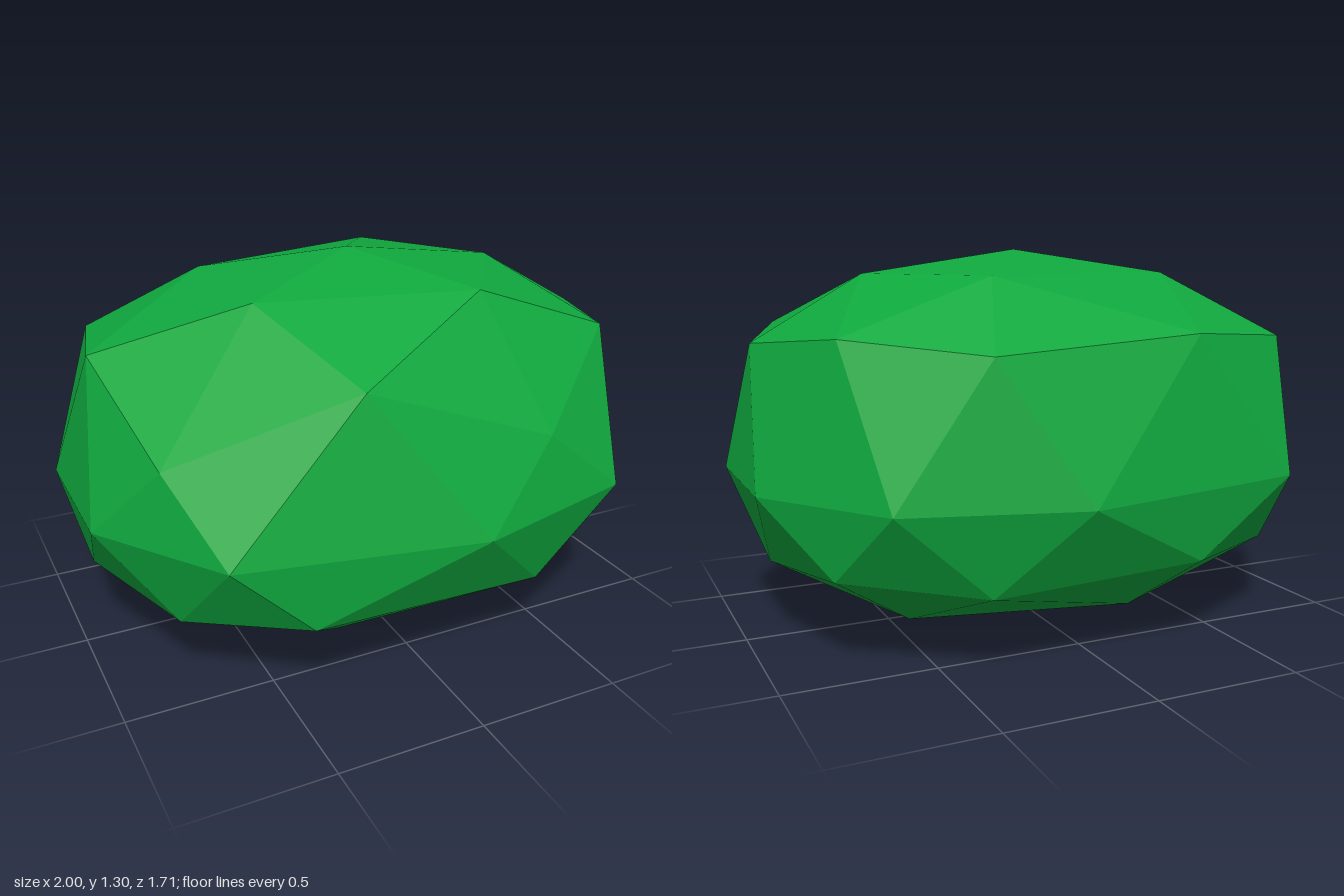
import * as THREE from 'three';

export function createModel() {
  const green = new THREE.MeshStandardMaterial({ color: 0x10a83e, flatShading: true });
  green.name = 'leaf green';

  // Lifts a ring of [x, z] points to one height.
  const level = (y, points) => points.map(([x, z]) => [x, y, z]);

  // Rings from crown to base; each runs round from +x towards +z.
  const crown = [0.01, 1.3, 0];
  const cap = level(1.22, [[0.57, 0], [0.28, 0.43], [-0.44, 0.26], [-0.44, -0.26], [0.28, -0.43]]);
  const upperMid = level(1.04, [[0.78, 0.43], [-0.26, 0.69], [-0.91, 0], [-0.32, -0.695], [0.78, -0.43]]);
  // The two front corners sit lower, which flattens the front slope.
  const upper = [[0.95, 1, 0], [0.39, 0.8, 0.72], [-0.82, 0.8, 0.45], [-0.81, 1, -0.45], [0.4, 1, -0.73]];
  const waist = level(0.55, [
    [1, 0.26], [0.7, 0.69], [0.1, 0.85], [-0.7, 0.69], [-1, 0.26],
    [-1, -0.26], [-0.7, -0.69], [0.13, -0.855], [0.7, -0.69], [1, -0.26],
  ]);
  const lower = level(0.305, [[0.81, 0.45], [-0.44, 0.72], [-0.95, 0], [-0.33, -0.72], [0.81, -0.45]]);
  const lowerMid = level(0.265, [[0.39, 0.69], [-0.78, 0.43], [-0.78, -0.43], [0.39, -0.69], [0.91, 0]]);
  const foot = level(0.085, [[0.51, 0.26], [-0.23, 0.43], [-0.65, 0], [-0.23, -0.43], [0.51, -0.26]]);
  const base = [-0.1, 0, 0];

  const positions = [];
  const face = (a, b, c) => positions.push(...a, ...b, ...c);

  // Five equal sectors of a once-divided icosahedron.
  for (let k = 0; k < 5; k++) {
    const n = (k + 1) % 5;
    const w = (i) => waist[(2 * k + i + 10) % 10];
    // Crown and upper slope
    face(crown, cap[n], cap[k]);
    face(cap[k], upperMid[k], upper[k]);
    face(cap[k], cap[n], upperMid[k]);
    face(cap[n], upper[n], upperMid[k]);
    // Band above the waist
    face(upper[k], w(0), w(-1));
    face(upper[k], upperMid[k], w(0));
    face(upperMid[k], w(1), w(0));
    face(upperMid[k], upper[n], w(1));
    // Band below the waist
    face(w(0), w(1), lower[k]);
    face(w(1), lowerMid[k], lower[k]);
    face(w(1), w(2), lowerMid[k]);
    face(w(2), lower[n], lowerMid[k]);
    // Underside
    face(lower[k], lowerMid[k], foot[k]);
    face(lowerMid[k], foot[n], foot[k]);
    face(lowerMid[k], lower[n], foot[n]);
    face(foot[k], foot[n], base);
  }

  const geometry = new THREE.BufferGeometry();
  geometry.setAttribute('position', new THREE.Float32BufferAttribute(positions, 3));
  geometry.computeVertexNormals();

  const bush = new THREE.Mesh(geometry, green);
  bush.name = 'bush';
  const group = new THREE.Group();
  group.name = 'facetedBush';
  group.add(bush);
  return group;
}
